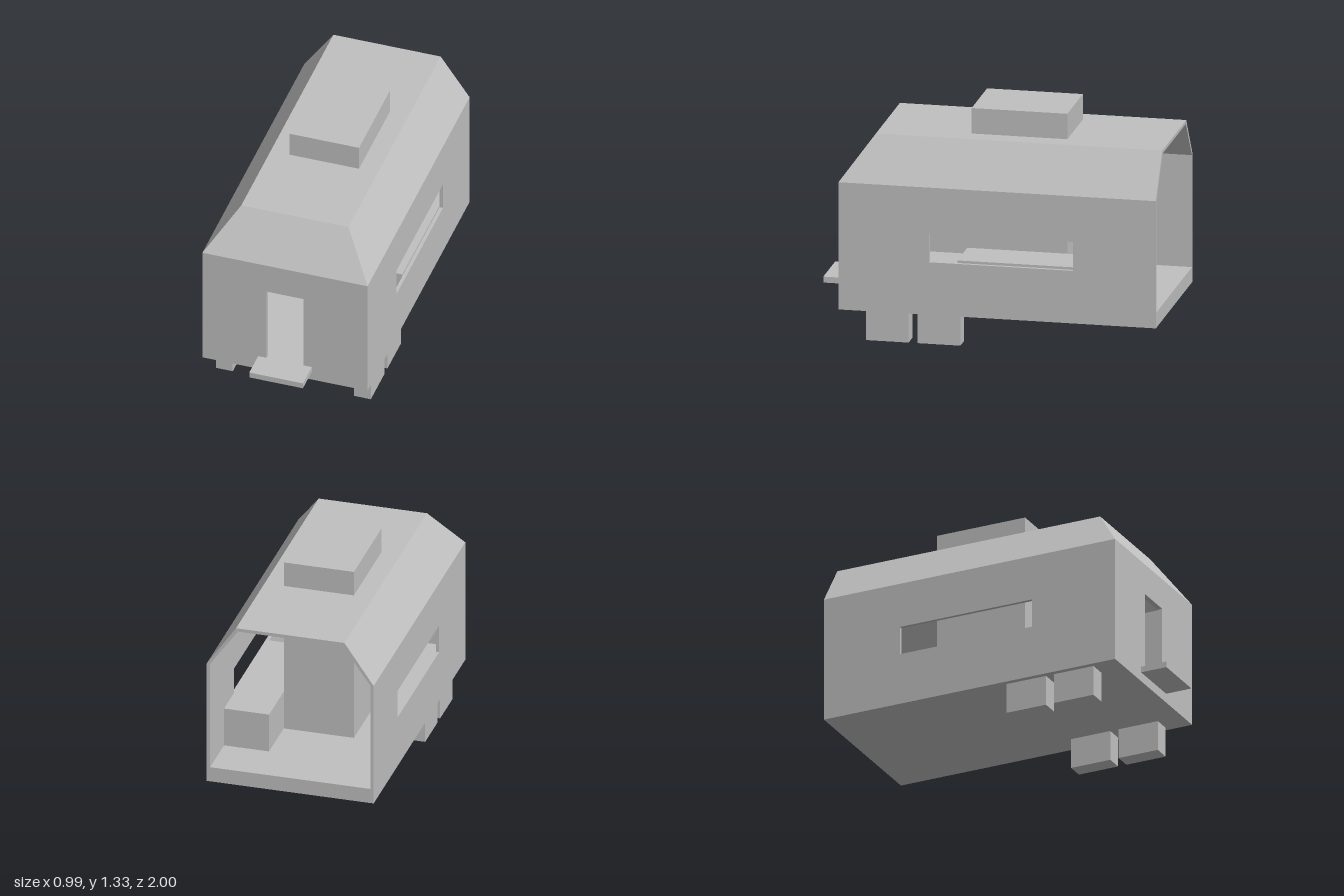
import * as THREE from 'three';

const grey = new THREE.MeshStandardMaterial({ color: 0xc0c0c0 });
grey.name = 'plain grey';

const W = 0.493, T = 0.02, FT = 0.03;      // half width, wall and front thickness
const BASE = 0.18, FLOOR = 0.27, EAVE = 0.93, TOP = 1.18;
const FRONT = 0.84, BACK = -1;

function add(group, name, geometry) {
  const mesh = new THREE.Mesh(geometry, grey);
  mesh.name = name;
  group.add(mesh);
  return mesh;
}

// Box given by its limits on each axis
function box(group, name, x0, x1, y0, y1, z0, z1) {
  const mesh = add(group, name, new THREE.BoxGeometry(x1 - x0, y1 - y0, z1 - z0));
  mesh.position.set((x0 + x1) / 2, (y0 + y1) / 2, (z0 + z1) / 2);
}

// Flat panel with one rectangular opening; rectangles are [u0, u1, v0, v1]
function wallGeometry(rect, hole, depth) {
  const corners = ([a, b, c, d]) => [[a, c], [b, c], [b, d], [a, d]].map(p => new THREE.Vector2(...p));
  const shape = new THREE.Shape(corners(rect));
  shape.holes.push(new THREE.Path(corners(hole).reverse()));
  return new THREE.ExtrudeGeometry(shape, { depth, bevelEnabled: false });
}

// Thick four-sided slab; both loops run anticlockwise seen from outside
function slabGeometry(outer, inner) {
  const out = [];
  const quad = (a, b, c, d) => out.push(...a, ...b, ...c, ...a, ...c, ...d);
  quad(...outer);
  quad(...[...inner].reverse());
  for (let i = 0; i < 4; i++) {
    const j = (i + 1) % 4;
    quad(outer[j], outer[i], inner[i], inner[j]);
  }
  const g = new THREE.BufferGeometry();
  g.setAttribute('position', new THREE.Float32BufferAttribute(out, 3));
  g.computeVertexNormals();
  return g;
}

// Roof corners on the outer or inner skin: eave and ridge, front and back
function roofCorners(ew, ez, rw, ry, rz) {
  return s => ({
    ef: [s * ew, EAVE, ez], eb: [s * ew, EAVE, BACK],
    rf: [s * rw, ry, rz], rb: [s * rw, ry, BACK],
  });
}

export function createModel() {
  const model = new THREE.Group();
  model.name = 'trailer';

  // Floor and walls, with the rear left open
  box(model, 'floor', -W + T, W - T, BASE, FLOOR, BACK, FRONT - FT);
  for (const [name, x] of [['leftWall', W], ['rightWall', -W + T]]) {
    const g = wallGeometry([BACK, FRONT, BASE, EAVE], [-0.52, 0.315, 0.49, 0.66], T);
    g.rotateY(-Math.PI / 2);
    add(model, name, g).position.x = x;
  }
  add(model, 'frontWall', wallGeometry([-W + T, W - T, BASE, EAVE], [-0.11, 0.11, FLOOR, 0.745], FT))
    .position.z = FRONT - FT;

  // Roof: flat top, two side slopes and a front slope
  const outer = roofCorners(W, FRONT, 0.32, TOP, 0.66);
  const inner = roofCorners(W - T, FRONT - FT, 0.309, TOP - T, 0.643);
  const panels = {
    roofTop: (l, r) => [l.rf, l.rb, r.rb, r.rf],
    roofLeftSlope: l => [l.ef, l.eb, l.rb, l.rf],
    roofRightSlope: (l, r) => [r.eb, r.ef, r.rf, r.rb],
    roofFrontSlope: (l, r) => [r.ef, l.ef, l.rf, r.rf],
  };
  for (const [name, loop] of Object.entries(panels)) {
    add(model, name, slabGeometry(loop(outer(1), outer(-1)), loop(inner(1), inner(-1))));
  }

  // Central column rising through the roof, and the bench beside it
  box(model, 'centralColumn', -0.207, 0.207, FLOOR, 1.33, -0.425, 0.13);
  box(model, 'bench', 0.207, W - T, FLOOR, 0.505, -0.72, 0.155);

  // Entrance step
  box(model, 'doorStep', -0.16, 0.16, 0.235, FLOOR, FRONT, 1);

  // Paired block feet on both sides
  for (const x of [-0.462, 0.362]) {
    for (const z of [0.14, 0.44]) box(model, 'foot', x, x + 0.1, 0, BASE, z, z + 0.248);
  }

  return model;
}
